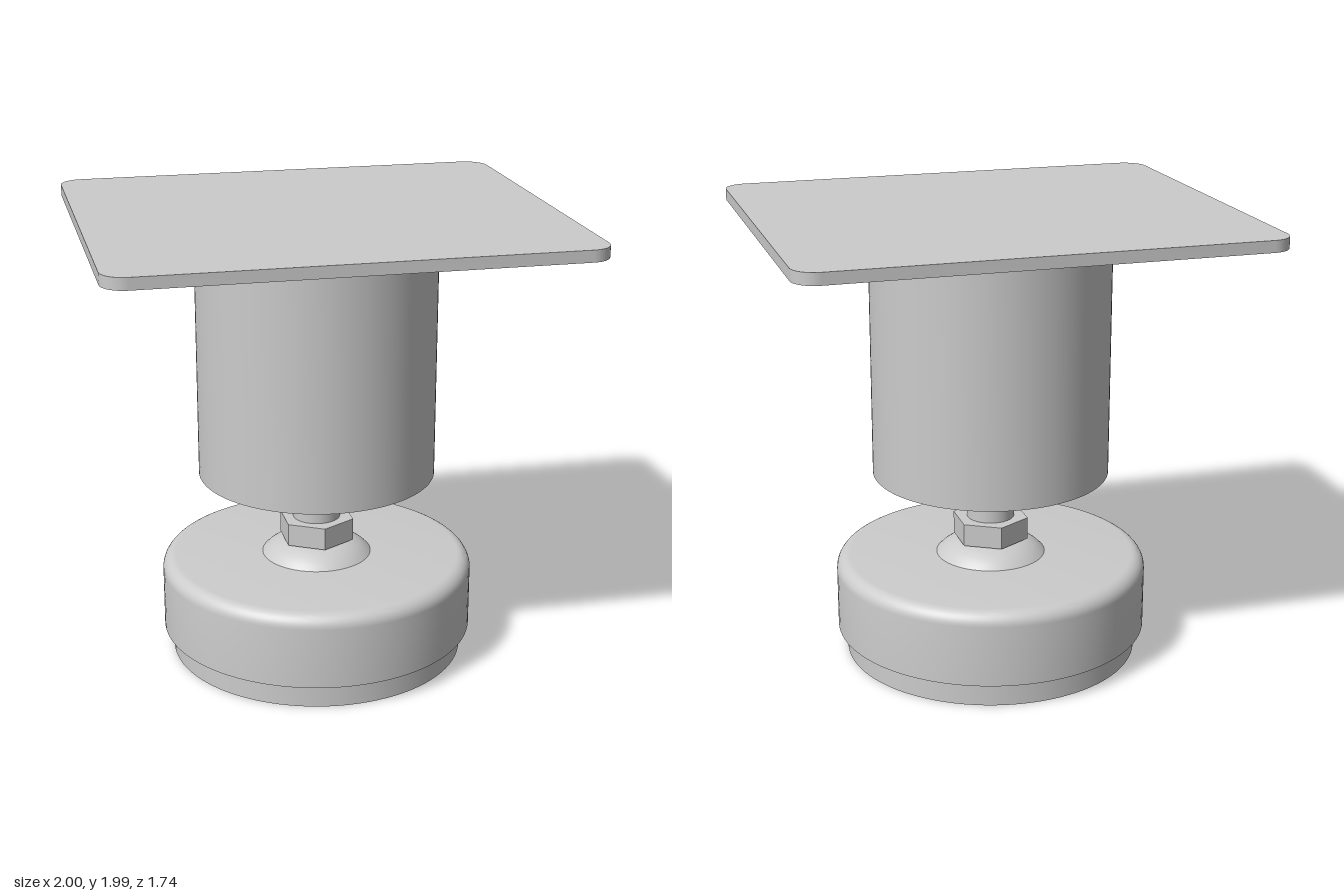
import * as THREE from 'three';
import { toCreasedNormals } from 'three/addons/utils/BufferGeometryUtils.js';

const material = new THREE.MeshStandardMaterial({ color: 0xcccccc });

function addPart(group, name, geometry) {
  const mesh = new THREE.Mesh(geometry, material);
  mesh.name = name;
  group.add(mesh);
  return mesh;
}

// Turned part: profile of [radius, height] pairs, sharp edges kept
function turned(profile) {
  const points = profile.map(([r, y]) => new THREE.Vector2(r, y));
  return toCreasedNormals(new THREE.LatheGeometry(points, 96), 0.6);
}

// Quarter or partial arc of profile points, angles measured from horizontal
function arc(cx, cy, rx, ry, steps) {
  return Array.from({ length: steps + 1 }, (_, i) => {
    const a = (i / steps) * Math.PI / 2;
    return [cx + rx * Math.cos(a), cy + ry * Math.sin(a)];
  });
}

// Flat plate with rounded corners, lying between y0 and y1
function plate(hx, hz, r, y0, y1) {
  const s = new THREE.Shape();
  s.absarc(hx - r, hz - r, r, 0, Math.PI / 2);
  s.absarc(-hx + r, hz - r, r, Math.PI / 2, Math.PI);
  s.absarc(-hx + r, -hz + r, r, Math.PI, Math.PI * 1.5);
  s.absarc(hx - r, -hz + r, r, Math.PI * 1.5, Math.PI * 2);
  const g = new THREE.ExtrudeGeometry(s, { depth: y1 - y0, bevelEnabled: false, curveSegments: 12 });
  g.rotateX(-Math.PI / 2).translate(0, y0, 0);
  return toCreasedNormals(g, 0.6);
}

export function createModel() {
  const model = new THREE.Group();
  model.name = 'levellingFoot';

  addPart(model, 'mountingPlate', plate(1, 0.87, 0.1, 1.94, 1.99));

  // Leg tube with a recessed floor at its lower end
  addPart(model, 'legTube', turned([[0, 0.95], [0.48, 0.95], [0.48, 0.83], [0.52, 0.83], [0.52, 1.94]]));

  // Threaded bushing under the recessed floor
  addPart(model, 'bushing', turned([[0.105, 0.9], [0.18, 0.9], [0.18, 0.95]]));

  const stud = addPart(model, 'stud', new THREE.CylinderGeometry(0.105, 0.105, 0.45, 48));
  stud.position.y = 0.73;

  // Hexagonal nut, corners toward front and back
  const nut = addPart(model, 'hexNut',
    toCreasedNormals(new THREE.CylinderGeometry(0.17, 0.17, 0.1, 6), 0.3));
  nut.position.y = 0.56;

  // Swivel dome under the nut
  addPart(model, 'swivelDome', turned([
    [0.245, 0.437], [0.223, 0.46], [0.195, 0.48], [0.16, 0.497], [0.12, 0.507], [0.08, 0.51], [0, 0.51],
  ]));

  // Cup with a rounded shoulder
  addPart(model, 'footCup', turned([
    [0, 0.11], [0.69, 0.11], ...arc(0.63, 0.38, 0.06, 0.06, 8), [0, 0.44],
  ]));

  // Pad standing on the floor
  addPart(model, 'footPad', turned([[0, 0], [0.65, 0], [0.65, 0.11]]));

  return model;
}
